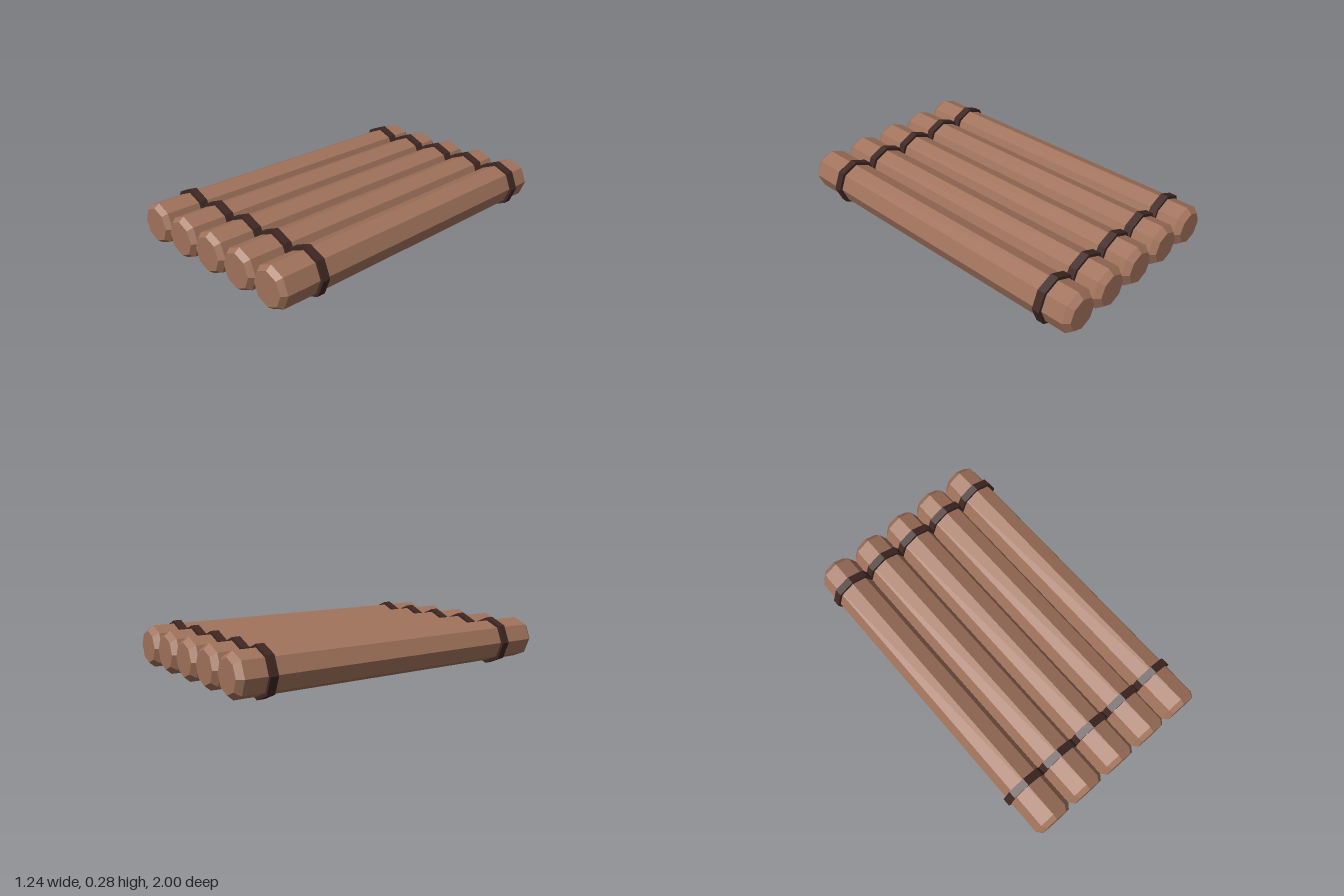
import * as THREE from 'three';

const SIDES = 8;
const LOGS = 5;
const SPACING = 0.241;
const CENTER_Y = 0.138;

export function createModel() {
  const raft = new THREE.Group();
  raft.name = 'logRaft';

  const wood = new THREE.MeshStandardMaterial({ color: 0xa0725b, flatShading: true });
  const rope = new THREE.MeshStandardMaterial({ color: 0x3e2723, flatShading: true });

  // Log profile, back to front, with bevelled ends
  const profile = [
    [0, -1], [0.092, -1], [0.12, -0.967], [0.12, 0.97], [0.097, 1], [0, 1],
  ].map(([r, y]) => new THREE.Vector2(r, y));
  const logGeometry = new THREE.LatheGeometry(profile, SIDES).rotateX(Math.PI / 2);

  // Rope band wrapped round one log
  const bandGeometry = new THREE.CylinderGeometry(0.138, 0.138, 0.045, SIDES).rotateX(Math.PI / 2);

  for (let i = 0; i < LOGS; i++) {
    const x = (i - (LOGS - 1) / 2) * SPACING;

    const log = new THREE.Mesh(logGeometry, wood);
    log.name = `log${i + 1}`;
    log.position.set(x, CENTER_Y, 0);
    raft.add(log);

    for (const [name, z] of [['frontRope', 0.747], ['backRope', -0.82]]) {
      const band = new THREE.Mesh(bandGeometry, rope);
      band.name = `${name}${i + 1}`;
      band.position.set(x, CENTER_Y, z);
      raft.add(band);
    }
  }

  return raft;
}
